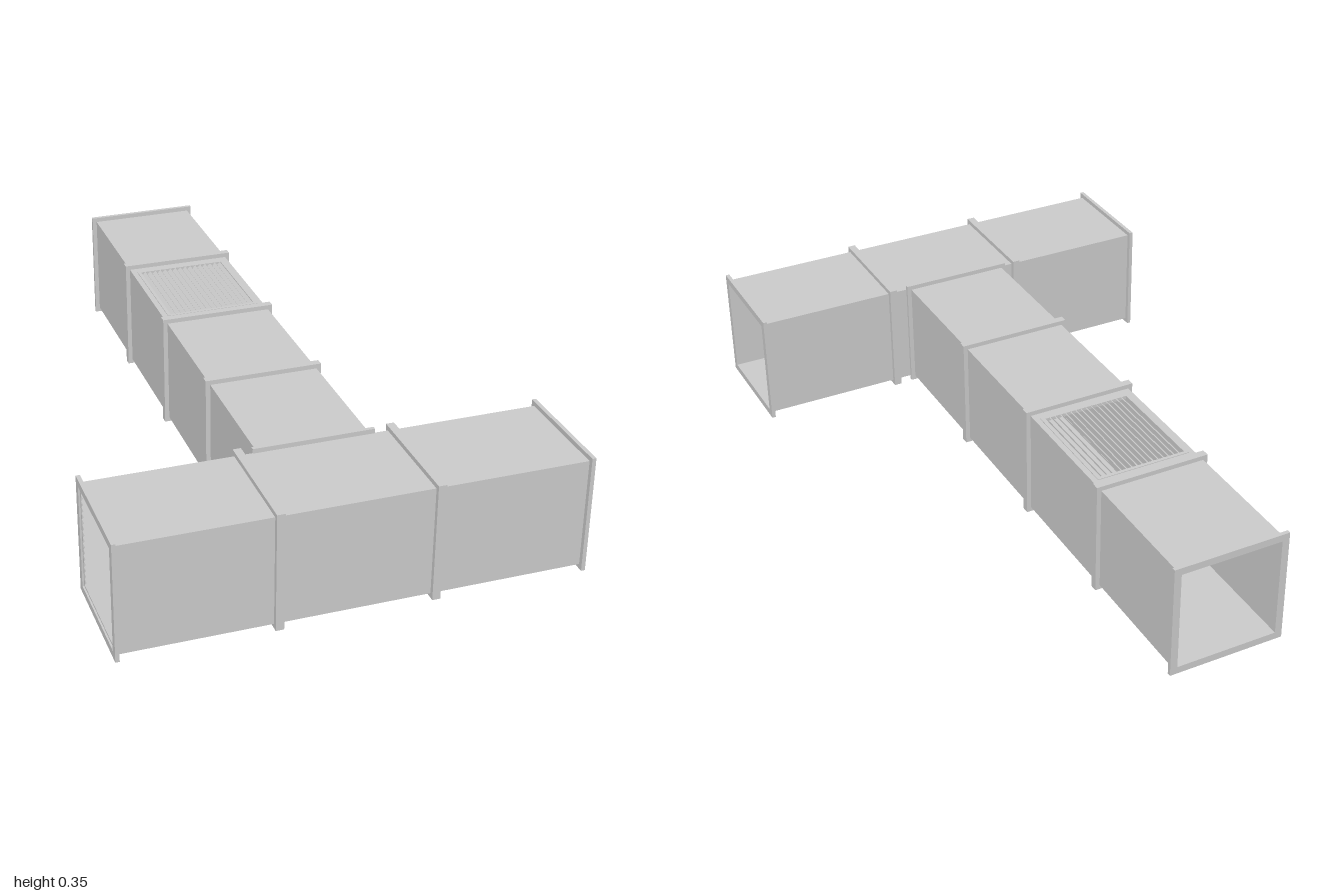
import * as THREE from 'three';

const METAL = new THREE.MeshStandardMaterial({ color: 0xcccccc, side: THREE.DoubleSide });
const DUCT = 0.16;      // half width of the duct
const WALL = 0.008;     // sheet thickness
const FLANGE = 0.1735;  // half width of a flange
const RIM = 0.0115;     // flange thickness
const HEIGHT = FLANGE;  // height of every duct axis

const X = new THREE.Vector3(1, 0, 0);
const Y = new THREE.Vector3(0, 1, 0);
const Z = new THREE.Vector3(0, 0, 1);

function addMesh(parent, name, geometry, x = 0, y = 0, z = 0) {
  const mesh = new THREE.Mesh(geometry, METAL);
  mesh.name = name;
  mesh.position.set(x, y, z);
  parent.add(mesh);
  return mesh;
}

function rectangle(Type, hw, hh) {
  return new Type([[-hw, -hh], [hw, -hh], [hw, hh], [-hw, hh]].map(p => new THREE.Vector2(...p)));
}

// Rectangular plate with a rectangular opening, centred, depth along z
function frameGeometry(hw, hh, holeW, holeH, depth) {
  const shape = rectangle(THREE.Shape, hw, hh);
  shape.holes.push(rectangle(THREE.Path, holeW, holeH));
  return new THREE.ExtrudeGeometry(shape, { depth, bevelEnabled: false }).translate(0, 0, -depth / 2);
}

// Square duct along z with a flange at each end; hole = [halfX, halfZ] cut in its upper side
function ductSection(name, length, hole) {
  const section = new THREE.Group();
  section.name = name;
  const inner = DUCT - WALL;
  if (hole) {
    const mid = DUCT - WALL / 2;
    for (const s of [-1, 1]) {
      addMesh(section, 'sideWall', new THREE.BoxGeometry(WALL, 2 * inner, length), s * mid, 0, 0);
    }
    addMesh(section, 'plainWall', new THREE.BoxGeometry(2 * DUCT, WALL, length), 0, -mid, 0);
    const opened = frameGeometry(DUCT, length / 2, hole[0], hole[1], WALL).rotateX(-Math.PI / 2);
    addMesh(section, 'openedWall', opened, 0, mid, 0);
  } else {
    addMesh(section, 'ductWalls', frameGeometry(DUCT, DUCT, inner, inner, length));
  }
  for (const s of [-1, 1]) {
    addMesh(section, 'flange', frameGeometry(FLANGE, FLANGE, inner, inner, RIM), 0, 0, s * (length - RIM) / 2);
  }
  return section;
}

// Louvred grille in the xy plane, facing +z, outer slat edges lowered
function grille(name, hw, hh, border, count) {
  const group = new THREE.Group();
  group.name = name;
  addMesh(group, 'grilleFrame', frameGeometry(hw + border, hh + border, hw, hh, 0.01));
  const pitch = 2 * hh / count;
  for (let i = 0; i < count; i++) {
    const slat = addMesh(group, 'slat', new THREE.BoxGeometry(2 * hw, 0.003, 0.02), 0, -hh + (i + 0.5) * pitch, -0.003);
    slat.rotation.x = Math.PI / 4;
  }
  return group;
}

function orient(object, x, y, z) {
  object.quaternion.setFromRotationMatrix(new THREE.Matrix4().makeBasis(x, y, z));
}

export function createModel() {
  const model = new THREE.Group();
  model.name = 'ventilationDuct';

  // Cross run along x: two straight sections and a tee opening to the back
  const crossLength = 0.436;
  const crossZ = 1 - FLANGE;
  const inner = DUCT - WALL;
  for (const i of [-1, 0, 1]) {
    const part = ductSection(i ? 'crossSection' : 'teeSection', crossLength, i ? null : [inner, inner]);
    orient(part, Y.clone().negate(), Z.clone().negate(), X);
    part.position.set(i * crossLength, HEIGHT, crossZ);
    model.add(part);
  }

  // Louvred end cap on the -x end
  const endGrille = grille('endGrille', 0.144, 0.147, 0.008, 16);
  endGrille.rotation.y = -Math.PI / 2;
  endGrille.position.set(-0.644, HEIGHT, crossZ);
  model.add(endGrille);

  // Four sections running to the back, the second from the end vented on top
  const stemX = -0.0055;
  const stemLength = 0.4173;
  const vent = [0.133, 0.162];
  for (let i = 0; i < 4; i++) {
    const part = ductSection(i === 1 ? 'ventSection' : 'stemSection', stemLength, i === 1 ? vent : null);
    part.position.set(stemX, HEIGHT, -1 + (i + 0.5) * stemLength);
    model.add(part);
  }

  // Flush louvred grille in the vent opening
  const topGrille = grille('topGrille', vent[1], vent[0], 0.01, 16);
  orient(topGrille, Z.clone().negate(), X.clone().negate(), Y);
  topGrille.position.set(stemX, HEIGHT + DUCT - 0.003, -1 + 1.5 * stemLength);
  model.add(topGrille);

  return model;
}
